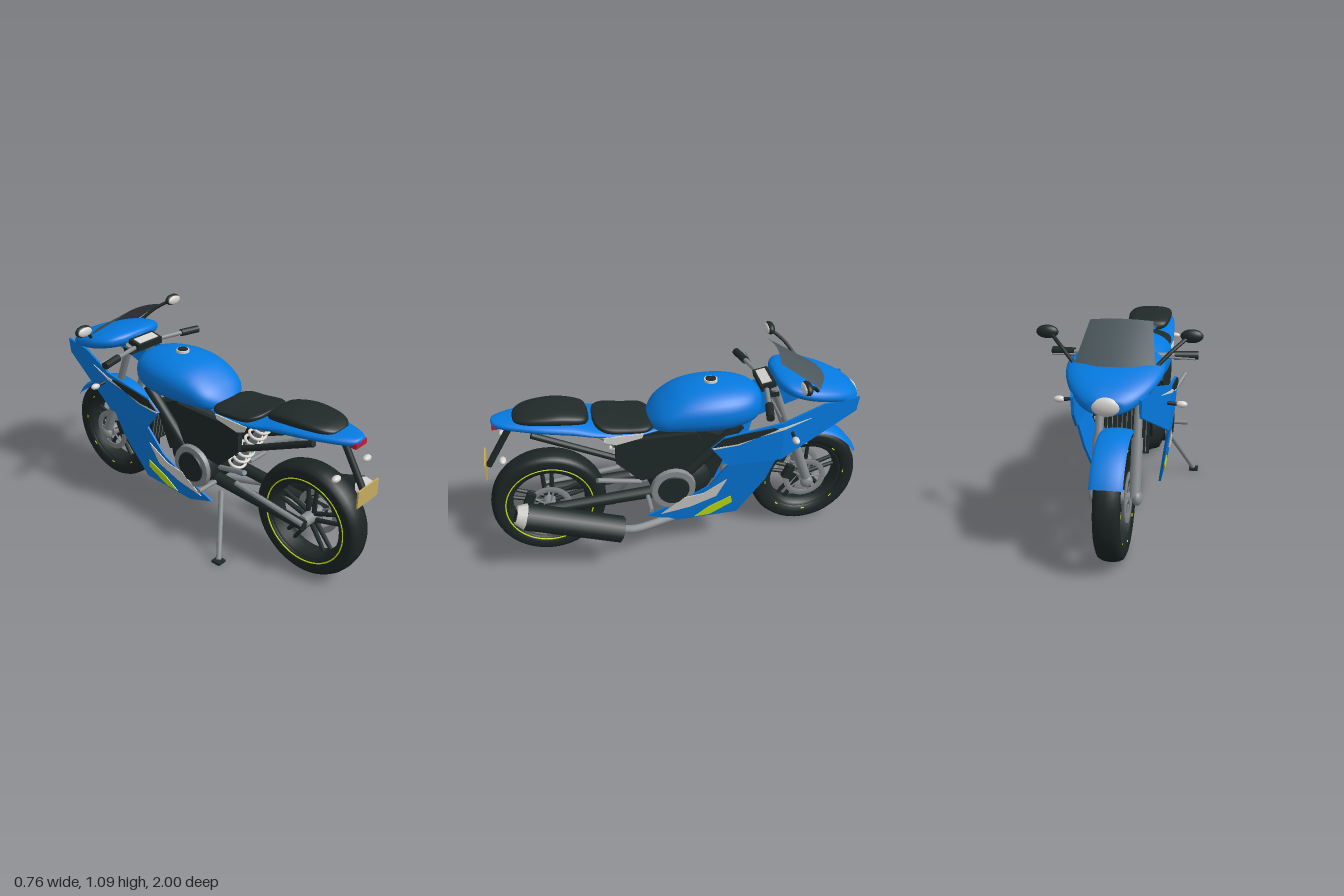
import * as THREE from 'three';

const mat = (name, color, side = THREE.FrontSide) => {
  const m = new THREE.MeshStandardMaterial({ color, side });
  m.name = name;
  return m;
};
const V = (p) => new THREE.Vector3(...p);

export function createModel() {
  const root = new THREE.Group();
  root.name = 'motorcycle';
  const blue = mat('blue paint', 0x057ae0, THREE.DoubleSide);
  const dark = mat('black plastic', 0x202a29);
  const rubber = mat('tyre rubber', 0x1c2524);
  const metal = mat('grey metal', 0x868b8e);
  const light = mat('pale grey', 0xd6d4d0);
  const lime = mat('lime', 0xd0ee12);
  const gold = mat('plate gold', 0xc6ac60);
  const red = mat('tail light red', 0xc01c30);
  const smoke = mat('smoked screen', 0x4a565b, THREE.DoubleSide);

  const add = (name, geo, m, parent = root) => {
    const mesh = new THREE.Mesh(geo, m);
    mesh.name = name;
    parent.add(mesh);
    return mesh;
  };
  const box = (name, size, pos, m, rx = 0, parent = root) => {
    const b = add(name, new THREE.BoxGeometry(...size), m, parent);
    b.position.set(...pos);
    b.rotation.x = rx;
  };
  const ball = (name, pos, scale, m, parent = root) => {
    const b = add(name, new THREE.SphereGeometry(1, 24, 14), m, parent);
    b.position.set(...pos);
    b.scale.set(...scale);
  };
  // Straight bar from a to b, optionally tapered
  const rod = (name, a, b, r, m, r2 = r, sides = 14, parent = root) => {
    const d = V(b).sub(V(a));
    const mesh = add(name, new THREE.CylinderGeometry(r2, r, d.length(), sides), m, parent);
    mesh.position.copy(V(a)).addScaledVector(d, 0.5);
    mesh.quaternion.setFromUnitVectors(new THREE.Vector3(0, 1, 0), d.normalize());
  };
  const pipe = (name, pts, r, m, seg = 32) =>
    add(name, new THREE.TubeGeometry(new THREE.CatmullRomCurve3(pts.map(V)), seg, r, 10), m);
  // Profile of [radius, x] spun about the x axis
  const spin = (name, profile, m, parent = root, start = 0, len = Math.PI * 2) => {
    const pts = profile.map(([r, x]) => new THREE.Vector2(r, x));
    return add(name, new THREE.LatheGeometry(pts, 56, start, len).rotateZ(-Math.PI / 2), m, parent);
  };
  // Smooth body through sections [z, half width, bottom, top], z increasing
  const loft = (name, sections, m, power = 0.85) => {
    const a = new THREE.CatmullRomCurve3(sections.map((s) => V([s[0], s[1], s[2]])), false, 'catmullrom');
    const b = new THREE.CatmullRomCurve3(sections.map((s) => V([s[3], 0, s[0]])), false, 'catmullrom');
    const rows = 40, n = 36, pos = [], idx = [];
    const pw = (v) => Math.sign(v) * Math.abs(v) ** power;
    for (let i = 0; i <= rows; i++) {
      const p = a.getPoint(i / rows), top = b.getPoint(i / rows).x;
      for (let j = 0; j < n; j++) {
        const t = (j / n) * Math.PI * 2;
        pos.push(Math.max(p.y, 0.003) * pw(Math.cos(t)), (p.z + top) / 2 + ((top - p.z) / 2) * pw(Math.sin(t)), p.x);
        if (i < rows) {
          const k = i * n + j, k1 = i * n + ((j + 1) % n);
          idx.push(k, k1, k + n, k1, k1 + n, k + n);
        }
      }
    }
    const g = new THREE.BufferGeometry();
    g.setAttribute('position', new THREE.Float32BufferAttribute(pos, 3));
    g.setIndex(idx);
    g.computeVertexNormals();
    add(name, g, m);
  };
  // Side plate from [z, y] corners, laid on the surface x = xAt(y, z)
  const plate = (name, pts, s, xAt, thick, m) => {
    const shape = new THREE.Shape(pts.map(([z, y]) => new THREE.Vector2(-s * z, y)));
    const g = new THREE.ExtrudeGeometry(shape, { depth: thick, bevelEnabled: false });
    const p = g.attributes.position;
    for (let i = 0; i < p.count; i++) {
      const z = -s * p.getX(i), y = p.getY(i);
      p.setXYZ(i, s * (xAt(y, z) + p.getZ(i)), y, z);
    }
    g.computeVertexNormals();
    add(name, g, m);
  };

  // Wheels; the rim stripe is a ring of arcs
  const wheel = (name, y, z, R, w, discs, arcs, arcLen) => {
    const g = new THREE.Group();
    g.name = name;
    g.position.set(0, y, z);
    root.add(g);
    const half = [[R - 0.085, 0.72], [R - 0.078, 0.9], [R - 0.055, 0.98], [R - 0.03, 1], [R - 0.014, 0.88], [R - 0.004, 0.55]];
    spin('tyre', [...half.map(([r, x]) => [r, -x * w]), [R, 0], ...half.reverse().map(([r, x]) => [r, x * w])], rubber, g);
    const h = w * 0.72;
    spin('rim', [[R - 0.08, h], [R - 0.105, h], [R - 0.115, 0], [R - 0.105, -h], [R - 0.08, -h]], dark, g);
    for (const s of [-1, 1])
      for (let i = 0; i < arcs; i++) {
        const stripe = add('rimStripe', new THREE.TorusGeometry(R - 0.074, 0.004, 6, Math.ceil(64 / arcs), arcLen), lime, g);
        stripe.rotation.set(0, Math.PI / 2, 0);
        stripe.rotateZ((i / arcs) * Math.PI * 2);
        stripe.position.x = s * w * 0.91;
      }
    for (let i = 0; i < 5; i++)
      for (const o of [-0.13, 0.13]) {
        const a = (i / 5) * Math.PI * 2 + Math.PI / 2, c = a + o;
        rod('spoke', [0, 0.035 * Math.sin(a + o * 4), 0.035 * Math.cos(a + o * 4)],
          [0, (R - 0.1) * Math.sin(c), (R - 0.1) * Math.cos(c)], 0.013, dark, 0.01, 8, g);
      }
    rod('hub', [-0.07, 0, 0], [0.07, 0, 0], 0.032, metal, 0.032, 20, g);
    for (const s of discs) {
      const x = s * 0.06;
      spin('brakeDisc', [[0.088, x - 0.004], [0.118, x - 0.004], [0.118, x + 0.004], [0.088, x + 0.004], [0.088, x - 0.004]], metal, g);
      for (let i = 0; i < 5; i++) {
        const a = i * 1.2566 + 0.6;
        rod('discArm', [x, 0, 0], [x, 0.09 * Math.sin(a), 0.09 * Math.cos(a)], 0.005, metal, 0.005, 6, g);
      }
      box('brakeCaliper', [0.03, 0.08, 0.045], [s * 0.068, 0.06, 0.1], dark, -0.4, g);
    }
  };
  wheel('frontWheel', 0.3, -0.7, 0.297, 0.06, [-1, 1], 8, 0.09);
  wheel('rearWheel', 0.305, 0.695, 0.303, 0.067, [1], 1, Math.PI * 2);
  for (const s of [-1, 1]) ball('frontHubCap', [s * 0.1, 0.3, -0.7], [0.025, 0.036, 0.036], metal);
  const fender = spin('frontFender', [[0.3, -0.075], [0.314, -0.058], [0.32, 0], [0.314, 0.058], [0.3, 0.075]], blue, root, 3.66, 1.83);
  fender.position.set(0, 0.298, -0.7);

  // Painted bodies and seats
  loft('fuelTank', [[-0.43, 0.02, 0.78, 0.82], [-0.42, 0.08, 0.74, 0.87], [-0.36, 0.15, 0.715, 0.91], [-0.25, 0.19, 0.7, 0.932],
    [-0.12, 0.197, 0.7, 0.934], [0, 0.182, 0.705, 0.91], [0.1, 0.15, 0.715, 0.85], [0.155, 0.08, 0.725, 0.79], [0.17, 0.01, 0.745, 0.76]], blue);
  loft('noseCowl', [[-0.94, 0.03, 0.79, 0.835], [-0.93, 0.085, 0.775, 0.85], [-0.88, 0.14, 0.785, 0.885], [-0.78, 0.195, 0.82, 0.925],
    [-0.65, 0.22, 0.85, 0.96], [-0.55, 0.19, 0.88, 0.972], [-0.5, 0.11, 0.905, 0.965], [-0.487, 0.01, 0.93, 0.94]], blue);
  loft('tailCowl', [[0.12, 0.11, 0.725, 0.75], [0.25, 0.15, 0.725, 0.765], [0.42, 0.155, 0.74, 0.79], [0.55, 0.148, 0.76, 0.825],
    [0.7, 0.132, 0.778, 0.842], [0.85, 0.088, 0.792, 0.845], [0.925, 0.045, 0.8, 0.84], [0.94, 0.01, 0.812, 0.83]], blue);
  loft('riderSeat', [[0.13, 0.08, 0.74, 0.77], [0.18, 0.14, 0.74, 0.785], [0.28, 0.148, 0.745, 0.793], [0.38, 0.145, 0.755, 0.808], [0.43, 0.1, 0.77, 0.815], [0.445, 0.03, 0.78, 0.81]], dark, 0.7);
  loft('passengerSeat', [[0.46, 0.05, 0.8, 0.825], [0.49, 0.105, 0.8, 0.855], [0.6, 0.122, 0.81, 0.882], [0.7, 0.118, 0.82, 0.882], [0.78, 0.098, 0.825, 0.872], [0.825, 0.06, 0.83, 0.855], [0.835, 0.01, 0.835, 0.845]], dark, 0.75);
  rod('fillerRing', [0, 0.925, -0.17], [0, 0.947, -0.17], 0.036, light, 0.034, 24);
  rod('fillerCap', [0, 0.93, -0.17], [0, 0.95, -0.17], 0.028, dark, 0.027, 24);
  ball('headlight', [0, 0.812, -0.925], [0.068, 0.042, 0.026], light);
  box('tailLight', [0.086, 0.026, 0.03], [0, 0.808, 0.923], red);

  // Wind screen
  const screen = new THREE.PlaneGeometry(2, 1, 16, 6);
  const sp = screen.attributes.position;
  for (let i = 0; i < sp.count; i++) {
    const u = sp.getX(i), t = sp.getY(i) + 0.5;
    sp.setXYZ(i, u * (0.18 - 0.035 * t), 0.935 + 0.155 * t - 0.012 * u * u, -0.755 + 0.25 * t + 0.05 * u * u * (1 - 0.6 * t));
  }
  screen.computeVertexNormals();
  add('windScreen', screen, smoke);

  // Fairing surfaces
  const upperX = (y, z) => 0.225 + (y - 0.56) * 0.035 - 0.2 * Math.max(0, -0.5 - z);
  const lowerX = (y) => 0.225 - (0.56 - y) * 0.165;
  const over = (f, d) => (y, z) => f(y, z) + d;
  const flat = (x) => () => x;
  for (const s of [-1, 1]) {
    plate('upperFairingRear', [[-0.13, 0.675], [-0.2, 0.735], [-0.5, 0.785], [-0.5, 0.56], [-0.22, 0.56]], s, over(upperX, -0.012), 0.012, blue);
    plate('upperFairingFront', [[-0.5, 0.785], [-0.72, 0.845], [-0.92, 0.845], [-0.91, 0.765], [-0.5, 0.56]], s, over(upperX, -0.012), 0.012, blue);
    plate('lowerFairing', [[-0.22, 0.56], [-0.47, 0.56], [-0.43, 0.43], [-0.29, 0.205], [0.03, 0.19], [0.19, 0.25], [0.02, 0.33], [-0.13, 0.42]], s, over(lowerX, -0.012), 0.012, blue);
    plate('fairingVent', [[-0.137, 0.682], [-0.19, 0.728], [-0.3, 0.747], [-0.45, 0.763], [-0.47, 0.755], [-0.37, 0.718], [-0.26, 0.69]], s, upperX, 0.006, dark);
    plate('ventTrim', [[-0.133, 0.678], [-0.26, 0.69], [-0.37, 0.718], [-0.27, 0.682], [-0.14, 0.67]], s, upperX, 0.005, light);
    plate('ventStreakRear', [[-0.37, 0.718], [-0.47, 0.755], [-0.5, 0.76], [-0.5, 0.746]], s, upperX, 0.005, light);
    plate('ventStreakFront', [[-0.5, 0.76], [-0.65, 0.782], [-0.5, 0.746]], s, upperX, 0.005, light);
    plate('paleFlash', [[0.12, 0.255], [0, 0.36], [-0.1, 0.375], [-0.22, 0.46], [-0.17, 0.345], [-0.03, 0.285]], s, lowerX, 0.005, light);
    plate('limeFlash', [[-0.06, 0.205], [-0.13, 0.265], [-0.25, 0.332], [-0.26, 0.285], [-0.14, 0.21]], s, lowerX, 0.005, lime);
    plate('sideCover', [[0.345, 0.72], [-0.07, 0.725], [-0.1, 0.675], [-0.02, 0.5], [0.22, 0.47], [0.345, 0.595]], s, flat(0.125), 0.028, dark);
    plate('tailFlash', [[0.4, 0.757], [0.2, 0.76], [0.21, 0.737], [0.34, 0.71], [0.385, 0.725]], s, flat(0.154), 0.007, light);

    // Frame, fork and controls
    rod('frameSpar', [s * 0.14, 0.44, 0.02], [s * 0.13, 0.74, -0.3], 0.028, dark);
    rod('seatStrut', [s * 0.1, 0.78, 0.75], [s * 0.11, 0.58, 0.3], 0.017, dark);
    rod('swingArm', [s * 0.09, 0.305, 0.72], [s * 0.085, 0.34, 0.15], 0.028, dark, 0.034);
    rod('forkLower', [s * 0.09, 0.3, -0.705], [s * 0.09, 0.56, -0.61], 0.027, metal);
    rod('forkUpper', [s * 0.09, 0.55, -0.613], [s * 0.09, 0.91, -0.48], 0.02, metal);
    rod('handlebar', [s * 0.09, 0.905, -0.44], [s * 0.25, 0.902, -0.41], 0.012, metal);
    rod('grip', [s * 0.235, 0.902, -0.412], [s * 0.345, 0.899, -0.388], 0.02, dark);
    rod('lever', [s * 0.18, 0.9, -0.44], [s * 0.335, 0.895, -0.442], 0.005, metal);
    pipe('mirrorArm', [[s * 0.18, 0.92, -0.68], [s * 0.25, 0.985, -0.63], [s * 0.31, 1.03, -0.57]], 0.009, dark, 14);
    ball('mirrorShell', [s * 0.327, 1.035, -0.565], [0.051, 0.031, 0.025], dark);
    ball('mirrorGlass', [s * 0.327, 1.035, -0.551], [0.044, 0.025, 0.013], light);
    rod('frontIndicatorStem', [s * 0.215, 0.715, -0.55], [s * 0.27, 0.71, -0.55], 0.009, dark);
    ball('frontIndicator', [s * 0.285, 0.71, -0.55], [0.027, 0.016, 0.018], light);
    ball('rearIndicator', [s * 0.125, 0.665, 0.9], [0.028, 0.016, 0.018], light);

    // Foot rests and engine covers
    rod('riderPeg', [s * 0.14, 0.353, 0.185], [s * 0.262, 0.353, 0.185], 0.012, metal);
    rod('passengerPeg', [s * 0.14, 0.455, 0.22], [s * 0.225, 0.555, 0.45], 0.013, metal);
    rod('engineCoverBase', [s * 0.09, 0.41, 0.055], [s * 0.165, 0.41, 0.055], 0.112, dark, 0.112, 32);
    rod('engineCoverRing', [s * 0.163, 0.41, 0.055], [s * 0.186, 0.41, 0.055], 0.12, metal, 0.114, 32);
    rod('engineCover', [s * 0.17, 0.41, 0.055], [s * 0.193, 0.41, 0.055], 0.09, dark, 0.08, 32);
  }

  // Engine and cooling
  ball('crankcase', [0, 0.42, -0.01], [0.168, 0.17, 0.19], dark);
  box('cylinderBlock', [0.22, 0.26, 0.2], [0, 0.56, -0.13], dark, -0.4);
  box('radiator', [0.22, 0.25, 0.035], [0, 0.5, -0.32], dark, 0.2);
  for (let i = -4; i <= 4; i++) box('radiatorFin', [0.003, 0.23, 0.038], [i * 0.024, 0.5, -0.32], metal, 0.2);
  rod('swingArmBrace', [-0.11, 0.325, 0.72], [-0.11, 0.38, 0.3], 0.014, metal);

  // Rear shock with coil spring
  const coil = [], top = V([0, 0.7, 0.38]), low = V([0, 0.4, 0.2]);
  const axis = low.clone().sub(top).normalize(), side = V([1, 0, 0]), up = axis.clone().cross(side);
  for (let i = 0; i <= 112; i++) {
    const a = (i / 16) * Math.PI * 2;
    coil.push(top.clone().lerp(low, i / 112).addScaledVector(side, 0.041 * Math.cos(a)).addScaledVector(up, 0.041 * Math.sin(a)).toArray());
  }
  pipe('shockSpring', coil, 0.008, light, 170);
  rod('shockBody', [0, 0.73, 0.4], [0, 0.36, 0.18], 0.022, metal);

  // Steering yoke and dash
  box('yoke', [0.23, 0.025, 0.06], [0, 0.885, -0.47], dark);
  box('dashCase', [0.17, 0.035, 0.08], [0, 0.915, -0.452], dark, 0.2);
  box('dashFace', [0.135, 0.008, 0.05], [0, 0.932, -0.446], light, 0.2);

  // Exhaust
  rod('muffler', [0.25, 0.243, 0.34], [0.25, 0.4, 0.82], 0.07, dark, 0.07, 8);
  rod('mufflerTip', [0.25, 0.4, 0.82], [0.25, 0.415, 0.865], 0.068, light, 0.048, 8);
  rod('mufflerHole', [0.25, 0.41, 0.855], [0.25, 0.4165, 0.868], 0.034, dark, 0.034, 12);
  pipe('exhaustPipe', [[0.25, 0.25, 0.36], [0.225, 0.215, 0.27], [0.16, 0.2, 0.1], [0.1, 0.205, -0.08], [0.07, 0.28, -0.23], [0.05, 0.45, -0.24]], 0.022, metal);

  // Side stand
  rod('sideStand', [-0.13, 0.31, 0.22], [-0.288, 0.02, 0.345], 0.014, metal);
  box('standFoot', [0.05, 0.014, 0.05], [-0.29, 0.012, 0.345], dark);

  // Number plate on its hanger
  rod('plateHanger', [0, 0.8, 0.84], [0, 0.56, 0.98], 0.017, dark);
  box('numberPlate', [0.166, 0.09, 0.008], [0, 0.57, 0.994], gold);
  return root;
}
